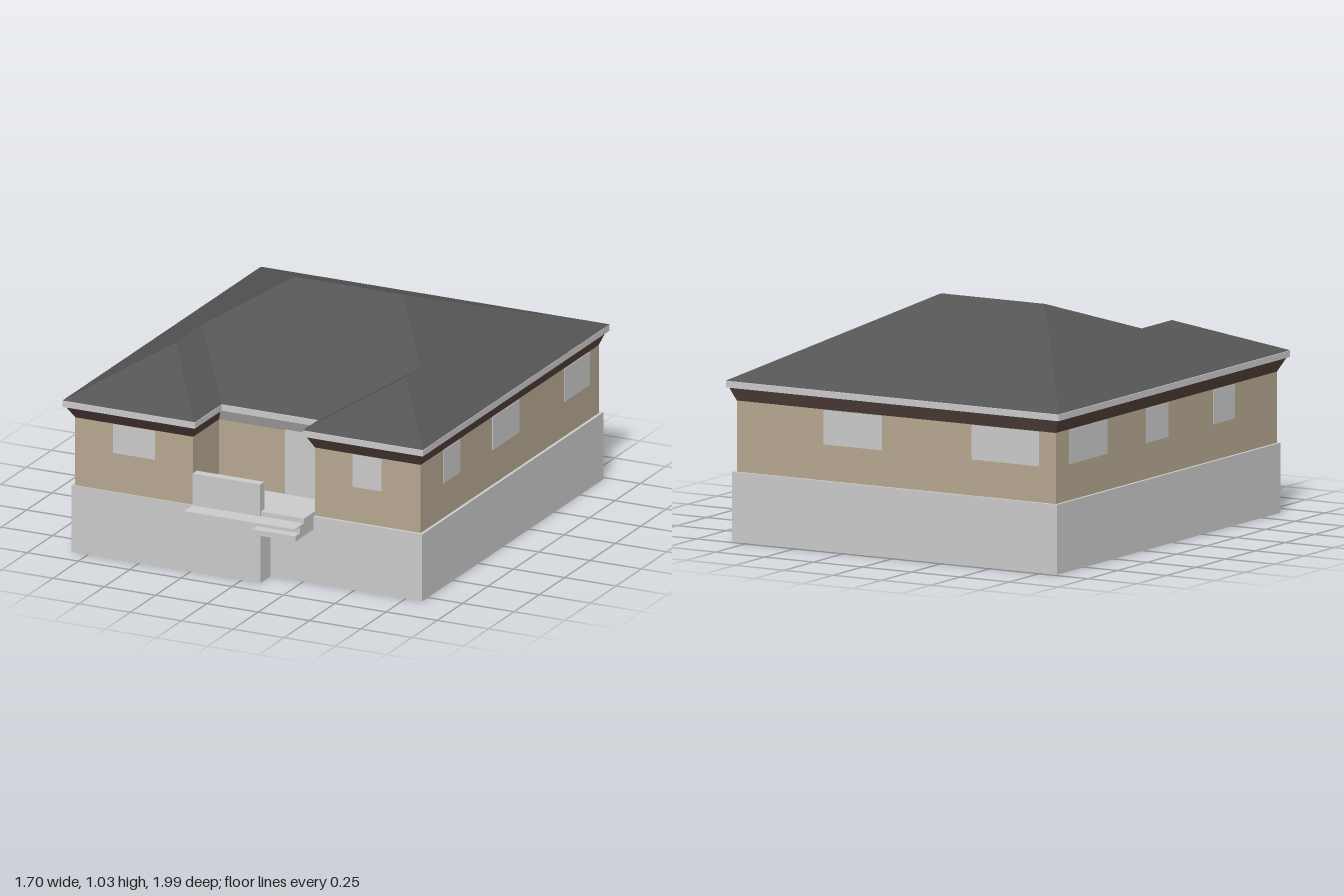
import * as THREE from 'three';

const material = (color) => new THREE.MeshStandardMaterial({ color, side: THREE.DoubleSide, flatShading: true });
const grey = material(0xcccccc);
const beige = material(0xb7a992);
const brown = material(0x5a4740);
const slate = material(0x555555);

// Plan outlines as [x, z]; eaves and walls share the same corner order
const EAVES = [[-0.85, -1], [0.85, -1], [0.85, 0.84], [0.265, 0.84], [0.265, 0.69], [-0.205, 0.69], [-0.205, 0.955], [-0.85, 0.955]];
const WALLS = [[-0.815, -0.965], [0.815, -0.965], [0.815, 0.79], [0.3, 0.79], [0.3, 0.645], [-0.24, 0.645], [-0.24, 0.9], [-0.815, 0.9]];
const BASE = [[-0.83, -0.98], [0.83, -0.98], [0.83, 0.805], [0.09, 0.805], [0.09, 0.905], [-0.83, 0.905]];

// Moves every edge of a right-angled outline inwards by t
function inset(outline, t) {
  const n = outline.length;
  const normal = (i) => {
    const a = outline[i % n], b = outline[(i + 1) % n];
    return [-Math.sign(b[1] - a[1]), Math.sign(b[0] - a[0])];
  };
  return outline.map(([x, z], i) => {
    const p = normal(i + n - 1), q = normal(i);
    return [x + t * (p[0] + q[0]), z + t * (p[1] + q[1])];
  });
}

// Hollow wall that follows an outline between two heights
function ring(outline, thickness, y0, y1) {
  const points = (o) => o.map(([x, z]) => new THREE.Vector2(x, z));
  const shape = new THREE.Shape(points(outline));
  shape.holes.push(new THREE.Path(points(inset(outline, thickness))));
  const geometry = new THREE.ExtrudeGeometry(shape, { depth: y1 - y0, bevelEnabled: false });
  return geometry.rotateX(Math.PI / 2).translate(0, y1, 0);
}

// Flat polygons [[x, y, z], ...] fanned from their first corner
function facets(polygons) {
  const positions = [];
  for (const p of polygons) {
    for (let i = 1; i < p.length - 1; i++) positions.push(...p[0], ...p[i], ...p[i + 1]);
  }
  const geometry = new THREE.BufferGeometry();
  geometry.setAttribute('position', new THREE.Float32BufferAttribute(positions, 3));
  geometry.computeVertexNormals();
  return geometry;
}

// Box given by its limits
function box(x0, x1, y0, y1, z0, z1) {
  return new THREE.BoxGeometry(x1 - x0, y1 - y0, z1 - z0)
    .translate((x0 + x1) / 2, (y0 + y1) / 2, (z0 + z1) / 2);
}

export function createModel() {
  const house = new THREE.Group();
  house.name = 'house';
  const add = (name, geometry, mat) => {
    const mesh = new THREE.Mesh(geometry, mat);
    mesh.name = name;
    house.add(mesh);
  };

  // Foundation and walls, open underneath
  add('foundation', ring(BASE, 0.014, 0, 0.31), grey);
  add('lowerWallLining', ring(WALLS, 0.012, 0, 0.31), beige);
  add('walls', ring(WALLS, 0.03, 0.31, 0.63), beige);

  // Sloped frieze from wall top out to the eaves; pale above the porch
  const rim = inset(EAVES, 0.01);
  const frieze = WALLS.map((a, i) => {
    const j = (i + 1) % WALLS.length, b = WALLS[j];
    return [[a[0], 0.625, a[1]], [rim[i][0], 0.686, rim[i][1]], [rim[j][0], 0.686, rim[j][1]], [b[0], 0.625, b[1]]];
  });
  add('frieze', facets(frieze.filter((_, i) => i !== 4)), brown);
  add('porchSoffit', facets([frieze[4]]), grey);
  add('fascia', ring(EAVES, 0.012, 0.685, 0.713), grey);

  // Hipped roof with two front wings
  const [A, B, K, J, I, H, G, F] = EAVES.map(([x, z]) => [x, 0.715, z]);
  const ridgeL = [-0.265, 1.03, -0.15], ridgeR = [0.265, 1.03, -0.15];
  const leftBack = [-0.527, 0.888, 0.235], leftFront = [-0.527, 0.888, 0.49];
  const rightBack = [0.557, 0.872, 0.275], rightFront = [0.557, 0.872, 0.42];
  add('roof', facets([
    [A, ridgeL, ridgeR, B],
    [leftBack, ridgeL, A, F, leftFront],
    [F, G, leftFront],
    [G, H, leftBack, leftFront],
    [H, I, rightBack, ridgeR, ridgeL, leftBack],
    [I, J, rightFront, rightBack],
    [J, K, rightFront],
    [rightBack, rightFront, K, B, ridgeR],
  ]), slate);

  // Porch landing, parapet and steps
  add('porchFloor', box(-0.24, 0.3, 0.305, 0.33, 0.645, 0.9), grey);
  add('porchApron', box(-0.24, 0.3, 0.305, 0.309, 0.8, 0.99), grey);
  add('porchParapet', box(-0.24, 0.09, 0.31, 0.457, 0.865, 0.906), grey);
  [[0.275, 0.305, 0.94], [0.25, 0.275, 0.985]].forEach(([y0, y1, z]) => {
    add('step', box(0.09, 0.3, y0, y1, 0.8, z), grey);
  });

  // Windows on walls facing front or back: [x0, x1, y0, y1, wall z, outward sign]
  const E = 0.003, D = 0.045;
  const spanZ = (z, s) => (s > 0 ? [z - D, z + E] : [z - E, z + D]);
  [
    [-0.63, -0.425, 0.49, 0.622, 0.9, 1],
    [0.485, 0.625, 0.473, 0.622, 0.79, 1],
    [0.07, 0.37, 0.47, 0.622, -0.965, -1],
    [-0.73, -0.385, 0.47, 0.622, -0.965, -1],
  ].forEach(([x0, x1, y0, y1, z, s]) => add('window', box(x0, x1, y0, y1, ...spanZ(z, s)), grey));
  add('door', box(0.083, 0.255, 0.33, 0.635, ...spanZ(0.645, 1)), grey);

  // Side windows: [z0, z1] per side
  const sides = [
    [1, [[0.405, 0.57], [-0.18, 0.085], [-0.87, -0.62]]],
    [-1, [[0.36, 0.54], [-0.2, -0.02], [-0.85, -0.535]]],
  ];
  for (const [s, spans] of sides) {
    const x = s * 0.815;
    const [x0, x1] = spanZ(x, s);
    for (const [z0, z1] of spans) add('sideWindow', box(x0, x1, 0.47, 0.622, z0, z1), grey);
  }
  return house;
}
